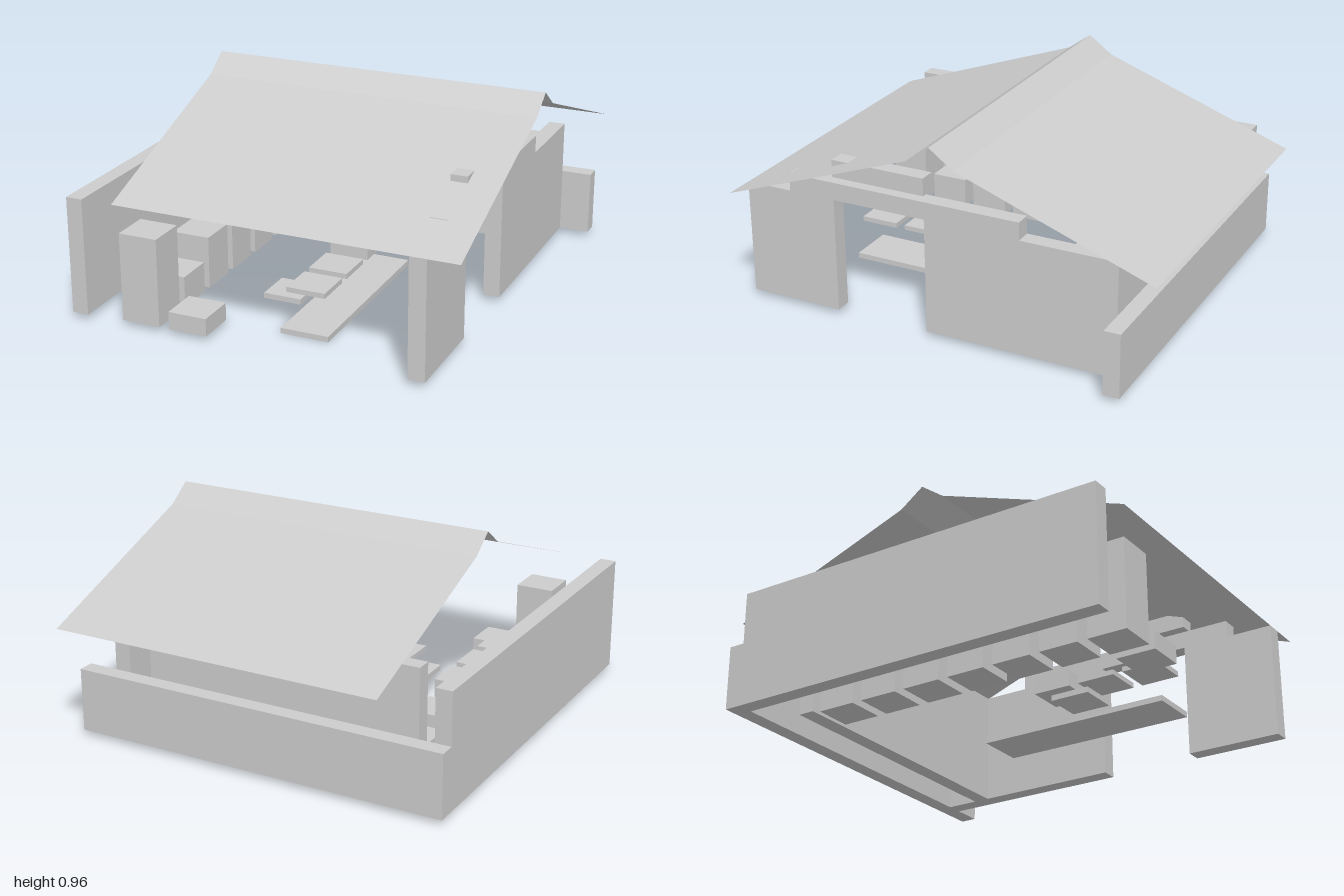
import * as THREE from 'three';

export function createModel() {
  const model = new THREE.Group();
  model.name = 'openHouse';
  const plaster = new THREE.MeshStandardMaterial({ color: 0xcccccc, side: THREE.DoubleSide });
  plaster.name = 'palePlaster';

  // Box given by its limits on each axis
  const box = (name, x0, x1, y0, y1, z0, z1) => {
    const mesh = new THREE.Mesh(new THREE.BoxGeometry(x1 - x0, y1 - y0, z1 - z0), plaster);
    mesh.position.set((x0 + x1) / 2, (y0 + y1) / 2, (z0 + z1) / 2);
    mesh.name = name;
    model.add(mesh);
  };

  const FLOOR = 0.025, WALL = 0.557;

  // Outer walls
  box('sideWall', -0.89, -0.815, FLOOR, WALL, -0.78, 1);
  box('backWall', -0.89, 0.885, FLOOR, 0.318, -0.855, -0.78);
  box('innerBackWall', -0.67, 0.67, FLOOR, WALL, -0.63, -0.555);

  // Wall with the doorway
  box('doorWallFront', 0.67, 0.745, FLOOR, WALL, 0.558, 1);
  box('doorWallBack', 0.67, 0.745, FLOOR, WALL, -0.78, 0.112);
  box('doorWallCap', 0.67, 0.745, WALL, 0.638, -0.335, 0.78);
  box('upperBeam', 0.67, 0.745, 0.665, 0.745, 0.112, 0.558);

  // Thin roof: a shallow slope and a steeper ridge strip on both sides
  const profile = [[1, WALL], [0.11, 0.877], [0, 0.957], [-0.11, 0.877], [-1, WALL]];
  for (let i = 0; i < 4; i++) {
    const [za, ya] = profile[i], [zb, yb] = profile[i + 1];
    const panel = new THREE.Mesh(
      new THREE.PlaneGeometry(1.555, Math.hypot(zb - za, yb - ya)), plaster);
    panel.rotation.x = -Math.atan2(za - zb, yb - ya);
    panel.position.set(0.1075, (ya + yb) / 2, (za + zb) / 2);
    panel.name = i === 0 || i === 3 ? 'roofSlope' : 'roofRidge';
    model.add(panel);
  }

  // Row of cabinets along the side wall
  const STEP = 0.223, SIZE = 0.178;
  const zFront = k => 0.983 - STEP * k;
  [0.425, 0.165, 0.265, 0.265, 0.265, 0.2, 0.165].forEach((top, k) =>
    box('cabinet', -0.65, -0.472, FLOOR, top, zFront(k) - SIZE, zFront(k)));

  // Loose low blocks
  box('lowBlock', -0.425, -0.247, FLOOR, 0.105, zFront(0) - SIZE, zFront(0));
  box('floorPad', -0.2, -0.022, FLOOR, 0.05, zFront(2) - SIZE, zFront(2));

  // Floor plank with the raised trays above it
  box('plank', 0, 0.222, 0, 0.025, -0.11, 0.78);
  [0.21, 0.21, 0.265].forEach((top, i) =>
    box('tray', 0.02, 0.198, 0.187, top, zFront(i + 1) - SIZE, zFront(i + 1)));

  return model;
}
